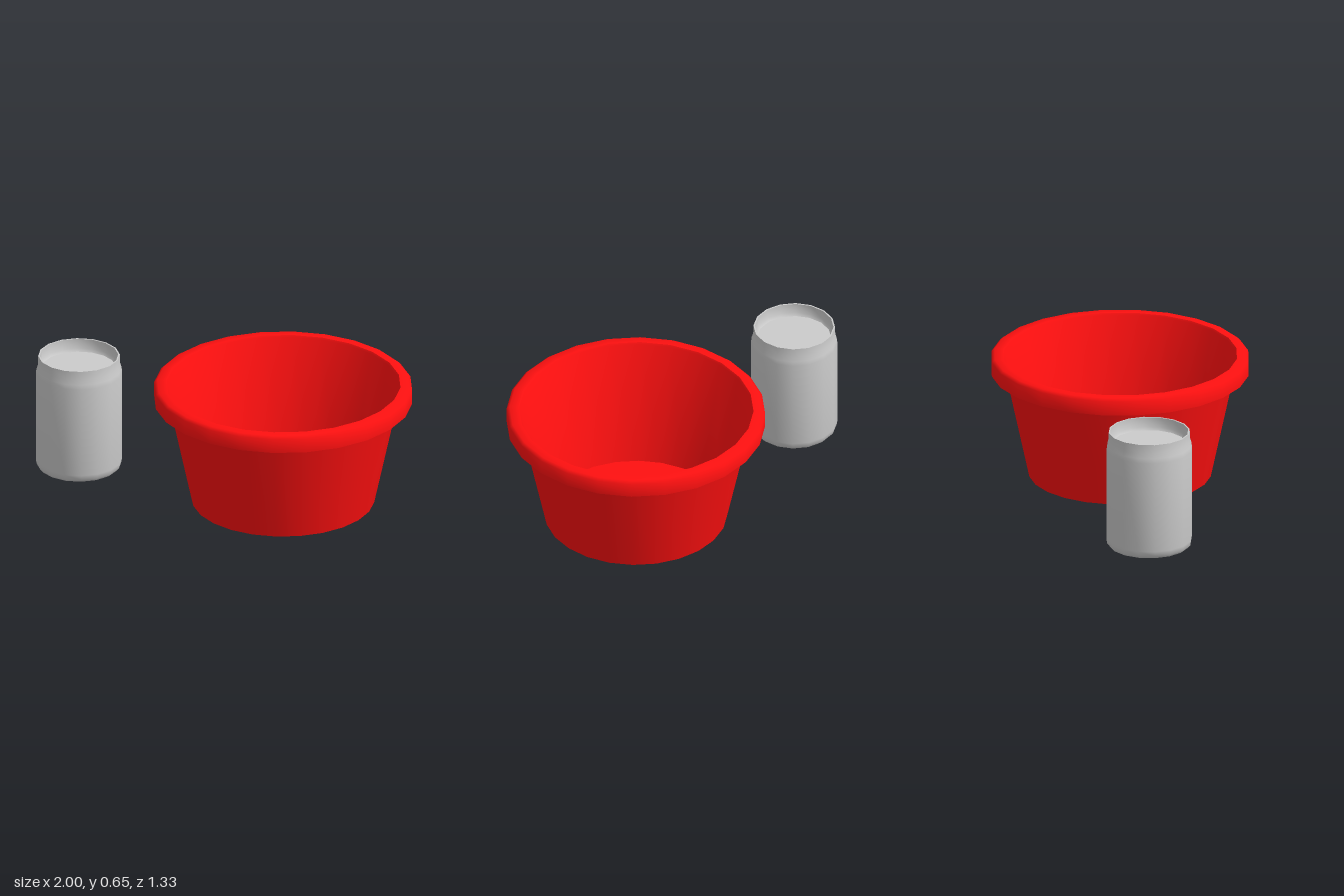
import * as THREE from 'three';
import { toCreasedNormals } from 'three/addons/utils/BufferGeometryUtils.js';

// Turned part from [radius, height] pairs, smooth except at sharp corners
function turned(name, profile, sides, color, x) {
  const points = profile.map(([r, y]) => new THREE.Vector2(r, y));
  const geometry = toCreasedNormals(new THREE.LatheGeometry(points, sides), 0.9);
  const mesh = new THREE.Mesh(geometry, new THREE.MeshStandardMaterial({ color }));
  mesh.name = name;
  mesh.position.x = x;
  return mesh;
}

export function createModel() {
  const model = new THREE.Group();
  model.name = 'tubAndCan';

  // Tapered thin-walled tub with a turned-down, hollow rim
  model.add(turned('tub', [
    [0, 0], [0.47, 0], [0.59, 0.56], [0.606, 0.635],   // base and outer wall
    [0.65, 0.635], [0.653, 0.56], [0.665, 0.56],       // inside and lower edge of the rim
    [0.665, 0.636], [0.649, 0.65], [0.605, 0.65],      // rim outside and bevelled top
    [0.598, 0.64], [0.459, 0.01], [0, 0.01],           // inner wall and floor
  ], 24, 0xff1010, 0.335));

  // Can with rounded base, narrowed neck and recessed lid
  model.add(turned('can', [
    [0, 0.015], [0.185, 0.015], [0.205, 0.02], [0.218, 0.035], [0.222, 0.06],
    [0.222, 0.545], [0.219, 0.57], [0.211, 0.595], [0.21, 0.642],
    [0.202, 0.642], [0.2, 0.59], [0.19, 0.575], [0, 0.575],
  ], 16, 0xcccccc, -0.778));

  return model;
}
